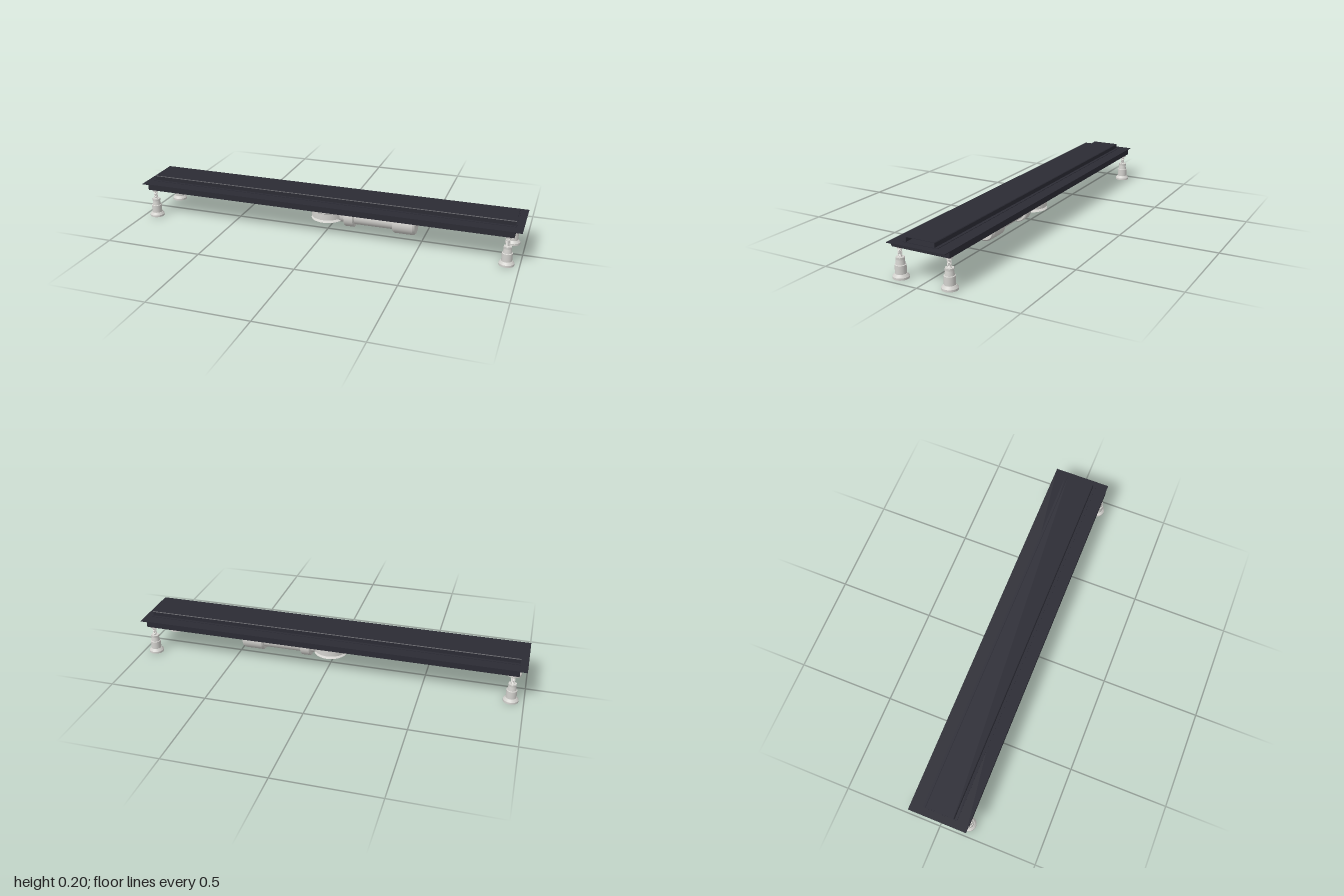
import * as THREE from 'three';

const dark = new THREE.MeshStandardMaterial({ color: 0x2b2b34 });
dark.name = 'anthracite metal';
const grey = new THREE.MeshStandardMaterial({ color: 0xd3d2ce, side: THREE.DoubleSide });
grey.name = 'light grey plastic';

function add(parent, name, geometry, material, x = 0, y = 0, z = 0) {
  const mesh = new THREE.Mesh(geometry, material);
  mesh.name = name;
  mesh.position.set(x, y, z);
  parent.add(mesh);
  return mesh;
}

// Turned part from [radius, height] pairs; each band is its own lathe so its edges stay sharp
function turned(parent, name, profile, material, segments = 32) {
  const group = new THREE.Group();
  group.name = name;
  for (let i = 0; i + 1 < profile.length; i++) {
    const pts = [profile[i], profile[i + 1]].map(([r, h]) => new THREE.Vector2(r, h));
    add(group, `${name}Band`, new THREE.LatheGeometry(pts, segments), material);
  }
  parent.add(group);
  return group;
}

// Adjustable foot: hollow base, sleeve, lock nut, threaded rod and top nut
function makeFoot(x, z) {
  const foot = new THREE.Group();
  foot.name = 'foot';
  turned(foot, 'footSleeve', [
    [0, 0.02], [0.022, 0.02], [0.028, 0], [0.0375, 0], [0.0375, 0.01], [0.028, 0.022],
    [0.026, 0.022], [0.026, 0.062], [0.022, 0.064], [0.019, 0.086], [0, 0.086],
  ], grey);
  add(foot, 'lockNut', new THREE.CylinderGeometry(0.022, 0.022, 0.011, 6), grey, 0, 0.0915, 0);
  const thread = [[0.008, 0.096]];
  for (let y = 0.096; y < 0.139; y += 0.005) thread.push([0.0105, y + 0.0025], [0.008, y + 0.005]);
  turned(foot, 'threadedRod', thread, grey, 16);
  add(foot, 'topNut', new THREE.CylinderGeometry(0.017, 0.017, 0.011, 6), grey, 0, 0.1445, 0);
  add(foot, 'rodEnd', new THREE.CylinderGeometry(0.009, 0.009, 0.012, 16), grey, 0, 0.146, 0);
  foot.position.set(x, 0, z);
  return foot;
}

export function createModel() {
  const model = new THREE.Group();
  model.name = 'linearShowerDrain';

  // Channel with overhanging end flanges
  add(model, 'channelBody', new THREE.BoxGeometry(1.93, 0.028, 0.298), dark, 0, 0.164, 0);
  add(model, 'flange', new THREE.BoxGeometry(2, 0.003, 0.298), dark, 0, 0.1785, 0);
  add(model, 'coverSeat', new THREE.BoxGeometry(1.93, 0.002, 0.178), dark, 0, 0.181, 0);

  // Folded sheet cover, open at both ends
  const w = 0.074, h = 0.205, t = 0.002, c = 0.003, base = 0.181;
  const section = new THREE.Shape([
    [-w, base], [-w + t, base], [-w + t, h - t], [w - t, h - t], [w - t, base],
    [w, base], [w, h - c], [w - c, h], [-w + c, h], [-w, h - c],
  ].map(([z, y]) => new THREE.Vector2(z, y)));
  const coverGeo = new THREE.ExtrudeGeometry(section, { depth: 1.924, bevelEnabled: false });
  coverGeo.translate(0, 0, -0.962);
  add(model, 'cover', coverGeo, dark).rotation.y = Math.PI / 2;

  // Trap cup below the channel
  turned(model, 'trapCup', [
    [0, 0.15], [0.099, 0.15], [0.099, 0.146], [0.086, 0.146], [0.086, 0.116],
    [0.084, 0.114], [0.084, 0.08], [0.058, 0.082], [0.086, 0.067], [0, 0.067],
  ], grey, 48);

  // Outlet pipe running towards +x
  const outlet = turned(model, 'outletPipe', [
    [0, 0], [0.04, 0], [0.04, 0.1], [0.056, 0.1], [0.059, 0.104], [0.059, 0.148],
    [0.054, 0.152], [0.044, 0.152], [0.044, 0.355], [0.054, 0.355], [0.0605, 0.363],
    [0.0605, 0.46], [0.053, 0.47], [0, 0.47],
  ], grey, 40);
  outlet.rotation.z = -Math.PI / 2;
  outlet.position.y = 0.093;

  // Four feet at the corners
  for (const x of [-0.937, 0.937]) {
    for (const z of [-0.127, 0.127]) model.add(makeFoot(x, z));
  }
  return model;
}
